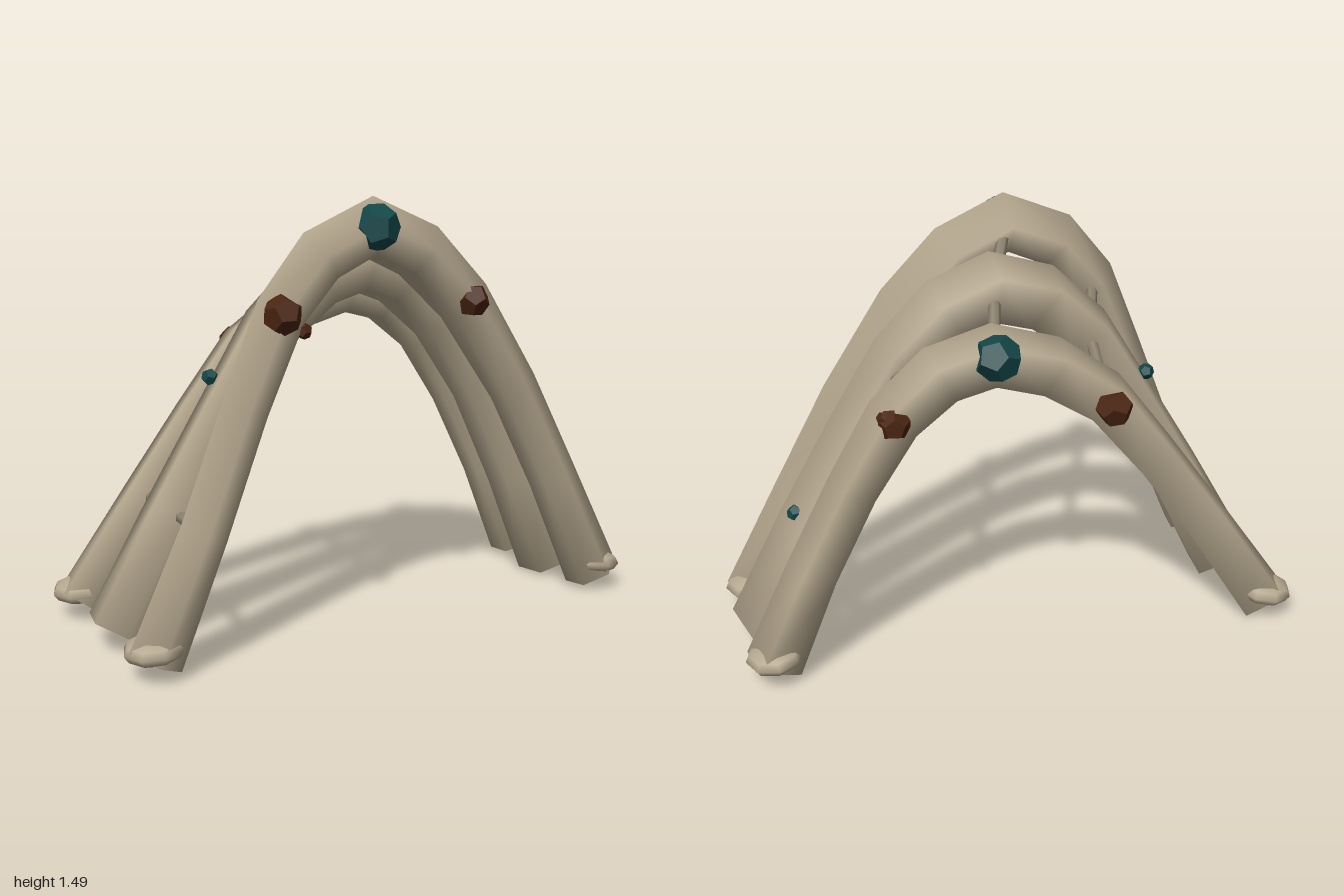
import * as THREE from 'three';

const bone = new THREE.MeshStandardMaterial({ color: 0xb5a78e });
const strutMat = new THREE.MeshStandardMaterial({ color: 0x8f8472 });
const teal = new THREE.MeshStandardMaterial({ color: 0x14484a, flatShading: true });
const brown = new THREE.MeshStandardMaterial({ color: 0x4a2511, flatShading: true });

// Radii from foot (first) to crown (last), mirrored along the rib
const OUTER_RADII = [0.102, 0.09, 0.088, 0.096, 0.103, 0.106];
const MIDDLE_RADII = [0.132, 0.115, 0.102, 0.11, 0.121, 0.126];

// Centre lines (x, y), depth at the two ends, and the angles of the section's corners
// measured from the outer side of the arch towards +z
const RIBS = [
  {
    name: 'frontRib', z: [0.333, 0.237], corners: [17, 85, 145, 200, 275], radii: OUTER_RADII, knobs: true,
    path: [[-0.903, 0.06], [-0.725, 0.45], [-0.575, 0.83], [-0.445, 1.13], [-0.3, 1.3], [-0.1, 1.387],
      [0.1, 1.3], [0.29, 1.12], [0.513, 0.8], [0.705, 0.45], [0.903, 0.06]],
  },
  {
    name: 'middleRib', z: [0, 0], corners: [30, 85, 145, 202, 300], radii: MIDDLE_RADII, knobs: false,
    path: [[-0.895, 0.06], [-0.69, 0.44], [-0.5, 0.77], [-0.32, 1.05], [-0.15, 1.2], [0.03, 1.255],
      [0.2, 1.19], [0.37, 1.03], [0.54, 0.77], [0.72, 0.43], [0.895, 0.06]],
  },
  {
    name: 'backRib', z: [-0.352, -0.243], corners: [28, 88, 148, 202, 303], radii: OUTER_RADII, knobs: true,
    path: [[-0.903, 0.06], [-0.66, 0.42], [-0.46, 0.7], [-0.27, 0.94], [-0.08, 1.07], [0.12, 1.13],
      [0.3, 1.08], [0.46, 0.94], [0.605, 0.7], [0.755, 0.4], [0.903, 0.06]],
  },
];

function ribPoints({ path, z }) {
  return path.map(([x, y]) => new THREE.Vector3(x, y, THREE.MathUtils.lerp(z[0], z[1], (x + 1) / 2)));
}

// Five-sided tube swept along the arch, with softly shaded closed ends
function ribGeometry(rib) {
  const pts = ribPoints(rib);
  const last = pts.length - 1;
  const sides = rib.corners.length;
  const pos = [], index = [];
  pts.forEach((p, i) => {
    const t = pts[Math.min(i + 1, last)].clone().sub(pts[Math.max(i - 1, 0)]).setZ(0).normalize();
    const r = rib.radii[Math.min(i, last - i)];
    for (const corner of rib.corners) {
      const a = THREE.MathUtils.degToRad(corner);
      const n = Math.cos(a) * r;
      pos.push(p.x - t.y * n, p.y + t.x * n, p.z + Math.sin(a) * r);
    }
  });
  for (let i = 0; i < last; i++) {
    for (let j = 0; j < sides; j++) {
      const a = i * sides + j, b = i * sides + (j + 1) % sides;
      index.push(a, b, b + sides, a, b + sides, a + sides);
    }
  }
  const end = last * sides;
  for (let j = 1; j < sides - 1; j++) {
    index.push(0, j + 1, j, end, end + j, end + j + 1);
  }
  const g = new THREE.BufferGeometry();
  g.setAttribute('position', new THREE.Float32BufferAttribute(pos, 3));
  g.setIndex(index);
  g.computeVertexNormals();
  return g;
}

function addMesh(parent, name, geometry, material) {
  const m = new THREE.Mesh(geometry, material);
  m.name = name;
  parent.add(m);
  return m;
}

// Round bar between two points
function addStrut(parent, a, b) {
  const m = addMesh(parent, 'strut', new THREE.CylinderGeometry(0.021, 0.021, a.distanceTo(b), 6), strutMat);
  m.position.copy(a).add(b).multiplyScalar(0.5);
  m.quaternion.setFromUnitVectors(new THREE.Vector3(0, 1, 0), b.clone().sub(a).normalize());
}

export function createModel() {
  const model = new THREE.Group();
  model.name = 'ribArch';

  // Arched ribs with flattened knobs at the feet of the outer two
  for (const rib of RIBS) {
    const group = new THREE.Group();
    group.name = rib.name;
    model.add(group);
    addMesh(group, 'arch', ribGeometry(rib), bone);
    if (!rib.knobs) continue;
    const pts = ribPoints(rib);
    for (const p of [pts[0], pts[pts.length - 1]]) {
      const s = Math.sign(p.x);
      const knob = addMesh(group, 'footKnob', new THREE.SphereGeometry(1, 8, 6), bone);
      knob.position.set(s * 0.9, 0.1, p.z * 1.03);
      knob.scale.set(0.1, 0.046, 0.108);
      knob.rotation.z = -s * 0.1;
    }
  }

  // Struts joining matching stations of neighbouring ribs
  const lines = RIBS.map(ribPoints);
  for (let r = 0; r < 2; r++) {
    for (const i of [1, 3, 5, 7, 9]) addStrut(model, lines[r][i], lines[r + 1][i]);
  }

  // Faceted growths: name, material, radius, position
  const growths = [
    ['crownGem', teal, 0.08, [-0.11, 1.39, 0.36]],
    ['crownGem', teal, 0.08, [0.13, 1.15, -0.365]],
    ['sideGem', brown, 0.066, [-0.46, 1.13, 0.382]],
    ['sideGem', brown, 0.06, [0.28, 1.13, 0.34]],
    ['sideGem', brown, 0.066, [-0.27, 0.93, -0.383]],
    ['sideGem', brown, 0.056, [0.47, 0.95, -0.335]],
    ['chip', brown, 0.028, [-0.37, 1.07, 0.35]],
    ['chip', brown, 0.028, [0.5, 0.97, -0.33]],
    ['chip', teal, 0.03, [-0.535, 0.88, -0.02]],
    ['chip', teal, 0.03, [0.762, 0.51, -0.02]],
  ];
  growths.forEach(([name, material, radius, position], i) => {
    const gem = addMesh(model, name, new THREE.DodecahedronGeometry(radius), material);
    gem.position.set(...position);
    gem.rotation.set(i * 0.7, i * 1.1, i * 0.4);
  });

  return model;
}
